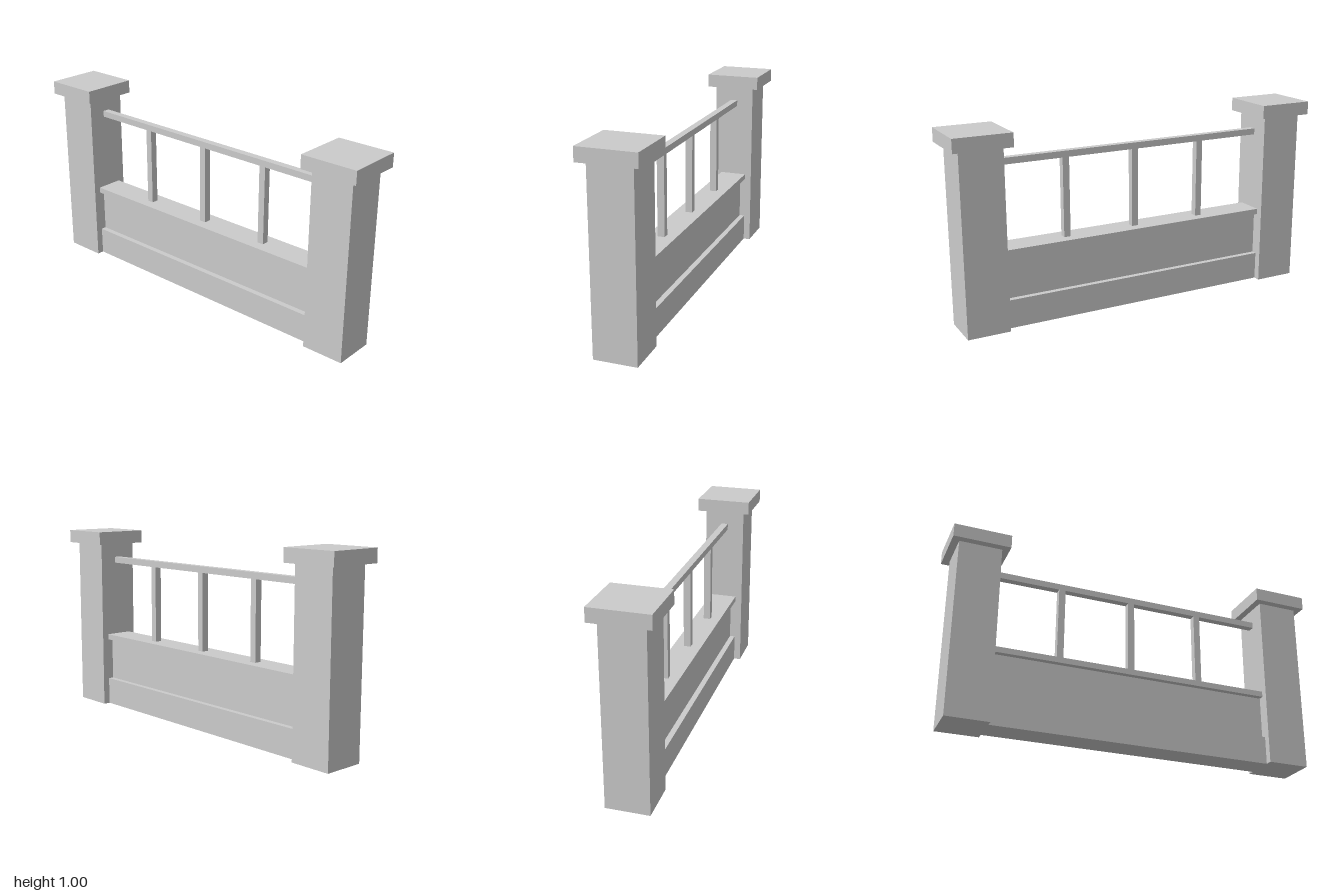
import * as THREE from 'three';

export function createModel() {
  const model = new THREE.Group();
  const material = new THREE.MeshStandardMaterial({ color: 0xcccccc, flatShading: true });

  // Box placed by its centre x, its bottom and top heights, and its width and depth
  function addBox(name, x, bottom, top, width, depth, parent = model) {
    const mesh = new THREE.Mesh(new THREE.BoxGeometry(width, top - bottom, depth), material);
    mesh.position.set(x, (bottom + top) / 2, 0);
    mesh.name = name;
    parent.add(mesh);
  }

  // End pillars with overhanging caps
  for (const [side, s] of [['left', 1], ['right', -1]]) {
    const pillar = new THREE.Group();
    pillar.name = side + 'Pillar';
    addBox(side + 'PillarShaft', s * 0.8525, 0, 0.93, 0.22, 0.22, pillar);
    addBox(side + 'PillarCap', s * 0.8525, 0.93, 1, 0.295, 0.295, pillar);
    model.add(pillar);
  }

  // Low wall between the pillars: plinth, recessed panel, coping
  const span = 1.485;
  addBox('wallPlinth', 0, 0, 0.148, span, 0.147);
  addBox('wallPanel', 0, 0.148, 0.378, span, 0.09);
  addBox('wallCoping', 0, 0.378, 0.408, span, 0.147);

  // Railing: three balusters under a top rail
  const railing = new THREE.Group();
  railing.name = 'railing';
  for (const i of [-1, 0, 1]) addBox('baluster', i * 0.388, 0.408, 0.82, 0.035, 0.037, railing);
  addBox('topRail', 0, 0.82, 0.853, span, 0.037, railing);
  model.add(railing);

  return model;
}
